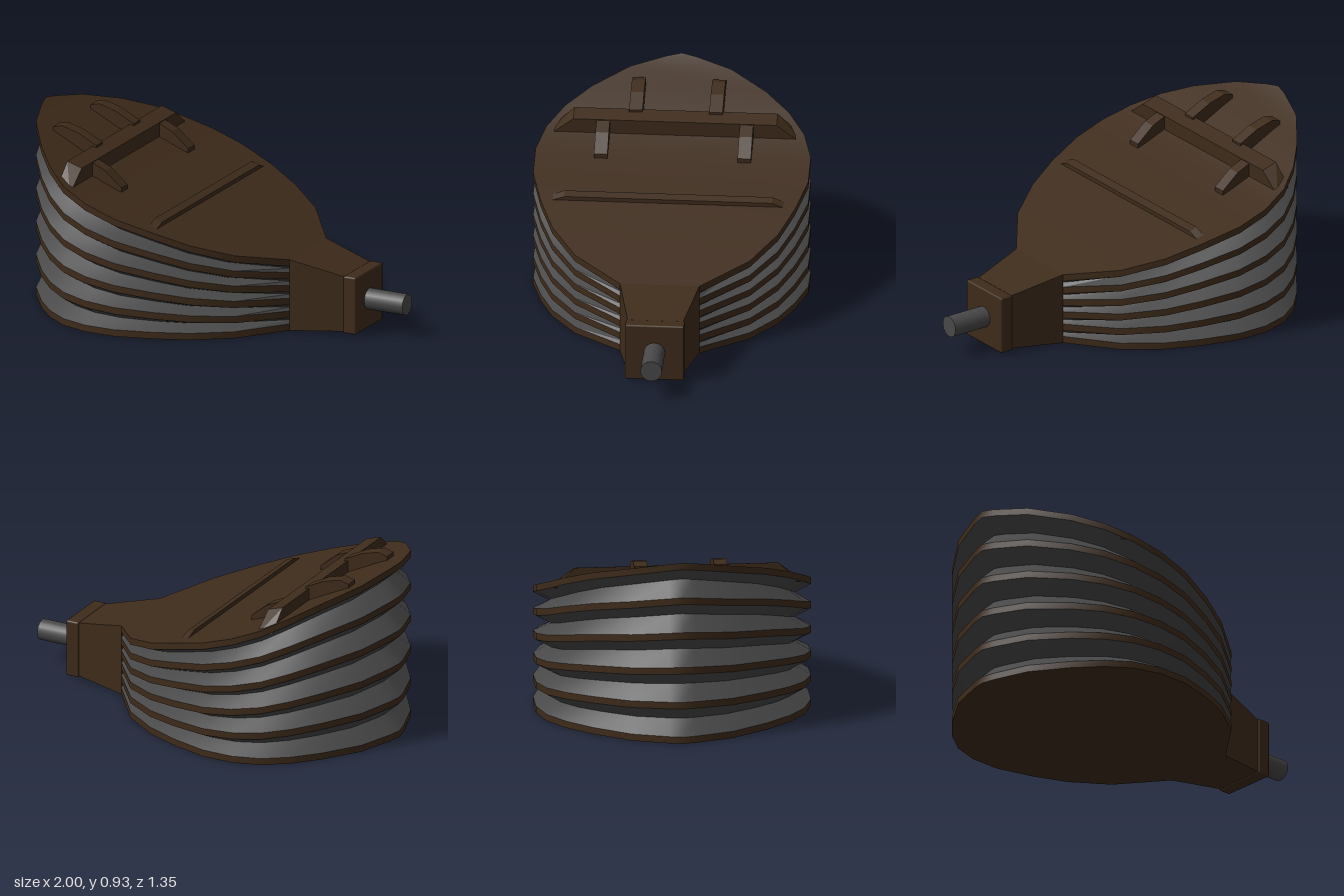
import * as THREE from 'three';
import { toCreasedNormals } from 'three/addons/utils/BufferGeometryUtils.js';
import { ConvexGeometry } from 'three/addons/geometries/ConvexGeometry.js';
import { RoundedBoxGeometry } from 'three/addons/geometries/RoundedBoxGeometry.js';

// Half outline of the boards: x, half width, height of the top board
const STATIONS = [
  [-1, 0, 0.93], [-0.985, 0.07, 0.92], [-0.925, 0.25, 0.885], [-0.8, 0.43, 0.83],
  [-0.69, 0.55, 0.775], [-0.57, 0.635, 0.715], [-0.43, 0.677, 0.66], [-0.27, 0.677, 0.605],
  [-0.08, 0.625, 0.545], [0.09, 0.555, 0.485], [0.27, 0.43, 0.425], [0.45, 0.195, 0.365],
];
const LAYERS = 5;
const EDGE = 0.034; // thickness of each wooden rim
const PLEAT = 0.885; // scale of the valleys between rims

export function createModel() {
  const group = new THREE.Group();
  const wood = new THREE.MeshStandardMaterial({ color: 0x3e2b1a });
  const dark = new THREE.MeshStandardMaterial({ color: 0x484848 });

  const add = (name, geometry, material) => {
    const mesh = new THREE.Mesh(geometry, material);
    mesh.name = name;
    group.add(mesh);
    return mesh;
  };

  // Height of the top face of rim i, which fans out from the neck
  const rimTop = (i, top) => EDGE + (top - EDGE) * i / LAYERS;

  // Closed ring of points around the outline
  const ring = (height, scale = 1) => {
    const half = STATIONS.map(([x, z, top]) => new THREE.Vector3(
      x > 0.4 ? x : -0.3 + (x + 0.3) * scale, height(top), z * scale));
    const mirrored = half.slice(1).reverse().map((p) => new THREE.Vector3(p.x, p.y, -p.z));
    return [...half, ...mirrored];
  };

  const fromQuads = (quads) => {
    const points = quads.flatMap(([a, b, c, d]) => [a, b, c, a, c, d]);
    return toCreasedNormals(new THREE.BufferGeometry().setFromPoints(points), 0.6);
  };

  // Wall between two rings, lower one first
  const wall = (lower, upper) => lower.map((p, j) => {
    const k = (j + 1) % lower.length;
    return [p, lower[k], upper[k], upper[j]];
  });

  // Flat strips from one side of the ring to the other
  const cap = (points, up) => {
    const n = points.length;
    const quads = [];
    for (let k = 0; k < STATIONS.length - 1; k++) {
      const q = [points[k], points[k + 1], points[n - k - 1], points[(n - k) % n]];
      quads.push(up ? q : q.reverse());
    }
    return quads;
  };

  // Boards, rims and the pleats between them
  for (let i = 0; i <= LAYERS; i++) {
    const low = ring((t) => rimTop(i, t) - EDGE);
    const high = ring((t) => rimTop(i, t));
    const quads = wall(low, high);
    if (i === 0) quads.push(...cap(low, false));
    if (i === LAYERS) quads.push(...cap(high, true));
    add(i === 0 ? 'bottomBoard' : i === LAYERS ? 'topBoard' : 'rim', fromQuads(quads), wood);
    if (i < LAYERS) {
      const valley = ring((t) => (rimTop(i, t) + rimTop(i + 1, t) - EDGE) / 2, PLEAT);
      const next = ring((t) => rimTop(i + 1, t) - EDGE);
      add('pleat', fromQuads([...wall(high, valley), ...wall(valley, next)]), dark);
    }
  }

  // Tapered neck, collar and nozzle
  const neck = [];
  for (const s of [-1, 1]) {
    for (const [x, y, z] of [[0.45, 0, 0.195], [0.45, 0.365, 0.195], [0.73, 0.02, 0.135], [0.73, 0.3, 0.135]]) {
      neck.push(new THREE.Vector3(x, y, z * s));
    }
  }
  add('neck', new ConvexGeometry(neck), wood);
  add('collar', new RoundedBoxGeometry(0.07, 0.293, 0.29, 1, 0.008), wood).position.set(0.755, 0.159, 0);
  const nozzle = add('nozzle', new THREE.CylinderGeometry(0.053, 0.053, 0.23, 20), dark);
  nozzle.rotation.z = Math.PI / 2;
  nozzle.position.set(0.885, 0.16, 0);

  // Convex x-y profile spread across z; each point is x, y, half width
  const slab = (name, profile, z = 0) => {
    const points = profile.flatMap(([x, y, w]) => [
      new THREE.Vector3(x, y, z - w), new THREE.Vector3(x, y, z + w)]);
    return add(name, new ConvexGeometry(points), wood);
  };

  // Cross bars on the top board
  slab('wideCrossbar', [[-0.62, 0.7, 0.605], [-0.62, 0.8, 0.5], [-0.54, 0.775, 0.5], [-0.54, 0.68, 0.625]]);
  slab('narrowCrossbar', [[-0.13, 0.54, 0.625], [-0.13, 0.582, 0.51], [-0.09, 0.568, 0.51], [-0.09, 0.53, 0.615]]);

  // Strap ends on either side of the wide bar
  const w = 0.033;
  for (const s of [-1, 1]) {
    slab('backStrap', [[-0.84, 0.84, w], [-0.84, 0.868, w], [-0.79, 0.88, w], [-0.7, 0.855, w],
      [-0.6, 0.805, w], [-0.6, 0.72, w]], 0.197 * s);
    slab('frontStrap', [[-0.56, 0.7, w], [-0.56, 0.78, w], [-0.47, 0.74, w], [-0.38, 0.665, w],
      [-0.38, 0.63, w]], 0.353 * s);
  }
  return group;
}
